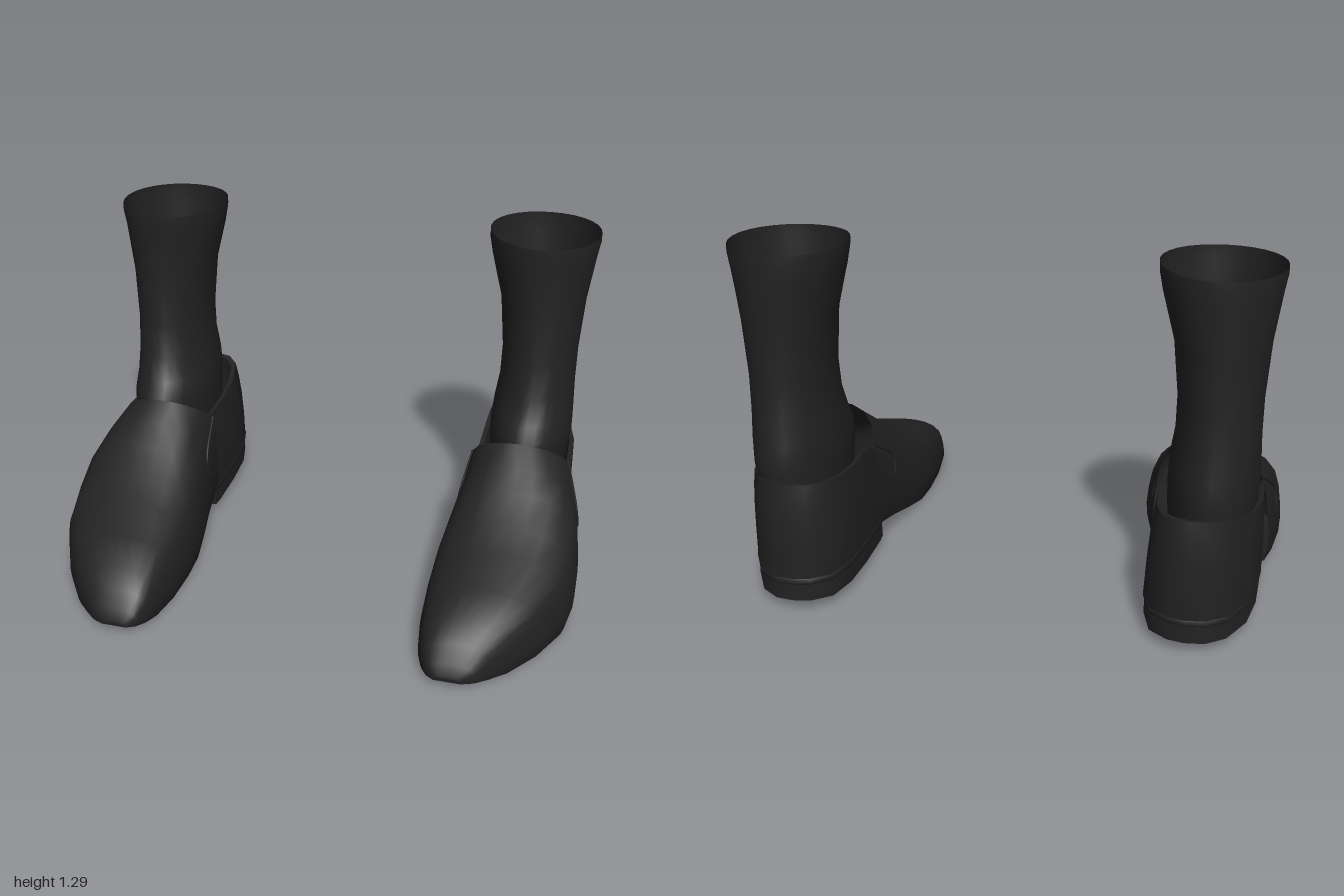
import * as THREE from 'three';
import { toCreasedNormals } from 'three/addons/utils/BufferGeometryUtils.js';

const V = (x, y, z) => new THREE.Vector3(x, y, z);

// Skin rings that turn counter-clockwise around the direction of travel; side = -1 mirrors in x
function loft(rings, side, { closed = true, capStart = false, capEnd = false, crease = 0.8 } = {}) {
  const n = rings[0].length, pos = [], idx = [];
  const tri = (a, b, c) => (side > 0 ? idx.push(a, b, c) : idx.push(a, c, b));
  rings.forEach(r => r.forEach(p => pos.push(p.x * side, p.y, p.z)));
  for (let i = 0; i < rings.length - 1; i++) {
    for (let j = 0; j < (closed ? n : n - 1); j++) {
      const k = (j + 1) % n, a = i * n + j, b = i * n + k;
      tri(a, b, b + n);
      tri(a, b + n, a + n);
    }
  }
  const cap = (i, flip) => {
    const c = rings[i].reduce((s, p) => s.add(p), V(0, 0, 0)).divideScalar(n);
    const m = pos.length / 3;
    pos.push(c.x * side, c.y, c.z);
    for (let j = 0; j < n; j++) {
      const a = i * n + j, b = i * n + (j + 1) % n;
      if (flip) tri(m, b, a); else tri(m, a, b);
    }
  };
  if (capStart) cap(0, true);
  if (capEnd) cap(rings.length - 1, false);
  const g = new THREE.BufferGeometry();
  g.setAttribute('position', new THREE.Float32BufferAttribute(pos, 3));
  g.setIndex(idx);
  return toCreasedNormals(g, crease);
}

// Half cross-section of the vamp, from sole edge to ridge (unit width and height)
const arch = [[0.95, 0], [0.99, 0.1], [1, 0.24], [0.98, 0.42], [0.94, 0.6], [0.87, 0.75],
  [0.72, 0.87], [0.5, 0.95], [0.25, 0.99], [0, 1]];
const section = [...arch, ...arch.slice(0, -1).reverse().map(([x, y]) => [-x, y])];

// Vamp stations: z, bottom, top, inner x, outer x, backward sweep of the sides
const stations = [
  [-0.08, 0.095, 0.55, 0.53, 0.955, 0.12], [0, 0.065, 0.495, 0.51, 0.985, 0.05],
  [0.08, 0.035, 0.435, 0.487, 1, 0], [0.2, 0.01, 0.36, 0.47, 1, 0],
  [0.32, 0.004, 0.305, 0.466, 0.98, 0], [0.47, 0.004, 0.25, 0.472, 0.905, 0],
  [0.6, 0.012, 0.2, 0.49, 0.815, 0], [0.66, 0.02, 0.15, 0.51, 0.755, 0],
  [0.7, 0.027, 0.09, 0.535, 0.71, 0], [0.725, 0.034, 0.055, 0.565, 0.665, 0]];

// Heel outline, outer side round to inner side: base x, top x, top y, z
const heelLine = [
  [0.94, 0.9, 0.36, -0.1], [0.935, 0.925, 0.433, -0.22], [0.925, 0.922, 0.437, -0.4],
  [0.895, 0.89, 0.455, -0.55], [0.83, 0.82, 0.478, -0.67], [0.76, 0.755, 0.488, -0.72],
  [0.69, 0.69, 0.49, -0.728], [0.63, 0.635, 0.488, -0.715], [0.565, 0.59, 0.478, -0.665],
  [0.535, 0.565, 0.455, -0.55], [0.528, 0.56, 0.437, -0.4], [0.53, 0.56, 0.433, -0.22],
  [0.535, 0.575, 0.36, -0.1]];

// Sock rings: y, inner x, outer x, front z, back z
const sockRows = [
  [0.16, 0.61, 0.89, -0.15, -0.65], [0.3, 0.6, 0.89, -0.1, -0.655],
  [0.43, 0.59, 0.9, -0.09, -0.665], [0.5, 0.588, 0.907, -0.075, -0.673],
  [0.55, 0.589, 0.906, -0.085, -0.672], [0.6, 0.593, 0.904, -0.125, -0.665],
  [0.7, 0.608, 0.9, -0.165, -0.647], [0.83, 0.61, 0.9, -0.19, -0.636],
  [1.03, 0.59, 0.912, -0.2, -0.642], [1.2, 0.545, 0.935, -0.195, -0.65],
  [1.26, 0.533, 0.945, -0.19, -0.653], [1.29, 0.532, 0.945, -0.19, -0.652]];

function makeBoot(side, leather, lining) {
  const boot = new THREE.Group();
  boot.name = side > 0 ? 'leftShoe' : 'rightShoe';
  const add = (name, geo, mat) => {
    const m = new THREE.Mesh(geo, mat);
    m.name = name;
    boot.add(m);
  };

  // Vamp with the forefoot sole; its rear edge sweeps back at the sides to form the collar
  const vamp = stations.map(([z, y0, y1, xa, xb, sweep]) => section.map(([u, v]) => {
    const ridge = sweep * -0.2 * v * v;
    return V((xa + xb) / 2 + u * (xb - xa) / 2 + ridge, y0 + (y1 - y0) * v,
      z - sweep * Math.min(1, (1 - v) / 0.25));
  }));
  add('vamp', loft(vamp, side, { capEnd: true }), lining);

  // Raised stitching running forward and down from each collar corner
  [false, true].forEach(inner => {
    const path = [[0, 5], [1, 4], [1, 3]].map(([i, j]) => {
      const p = vamp[i][inner ? section.length - 1 - j : j];
      return V(p.x * side, p.y, p.z);
    });
    add('sideSeam', new THREE.TubeGeometry(new THREE.CatmullRomCurve3(path), 10, 0.005, 6), leather);
  });

  // Heel counter: wall around the heel, leaning in near the top, with a folded lip
  const counter = [0, 0.3, 0.6, 0.82, 1].map(t => heelLine.map(([xb, xt, top, z]) =>
    V(xb + (xt - xb) * t * t, 0.11 + (top - 0.11) * t, z * (1 - 0.035 * t ** 4))));
  counter.push(counter[4].map(p => V(0.74 + (p.x - 0.74) * 0.9, p.y - 0.004, -0.4 + (p.z + 0.4) * 0.93)));
  add('heelCounter', loft(counter, side, { closed: false }), lining);

  // Heel block and the welt above it share one outline, tilted slightly up to the back
  const heelRing = (scale, y, rise) => heelLine.map(([xb, , , z]) => {
    const zz = Math.min(z, -0.17);
    return V(0.735 + (xb - 0.735) * scale, y + rise * (-0.17 - zz) / 0.56, -0.43 + (zz + 0.43) * scale);
  });
  add('heelBlock', loft([heelRing(0.99, 0.03, 0.015), heelRing(0.985, 0.095, 0.017)], side,
    { capStart: true, capEnd: true }), leather);
  add('heelWelt', loft([heelRing(0.99, 0.092, 0.017), heelRing(1.01, 0.098, 0.017),
    heelRing(1.01, 0.112, 0.017), heelRing(0.99, 0.122, 0.017)], side,
    { capStart: true, capEnd: true }), leather);

  // Sock shaft, open at the top and closed by an insole at the bottom
  const sock = sockRows.map(([y, xa, xb, zf, zb]) => Array.from({ length: 28 }, (_, i) => {
    const a = i / 28 * Math.PI * 2;
    const dip = y > 1.25 ? -0.006 * Math.sin(a) ** 2 : 0;
    return V((xa + xb) / 2 + Math.cos(a) * (xb - xa) / 2, y + dip, (zf + zb) / 2 - Math.sin(a) * (zf - zb) / 2);
  }));
  add('sock', loft(sock, side, { capStart: true }), lining);
  return boot;
}

export function createModel() {
  const leather = new THREE.MeshStandardMaterial({ color: 0x222222 });
  leather.name = 'black leather';
  // Same black, seen from both sides on the open shells
  const lining = new THREE.MeshStandardMaterial({ color: 0x222222, side: THREE.DoubleSide });
  lining.name = 'black open shell';
  const model = new THREE.Group();
  model.name = 'shoesWithSocks';
  [1, -1].forEach(side => model.add(makeBoot(side, leather, lining)));
  return model;
}
